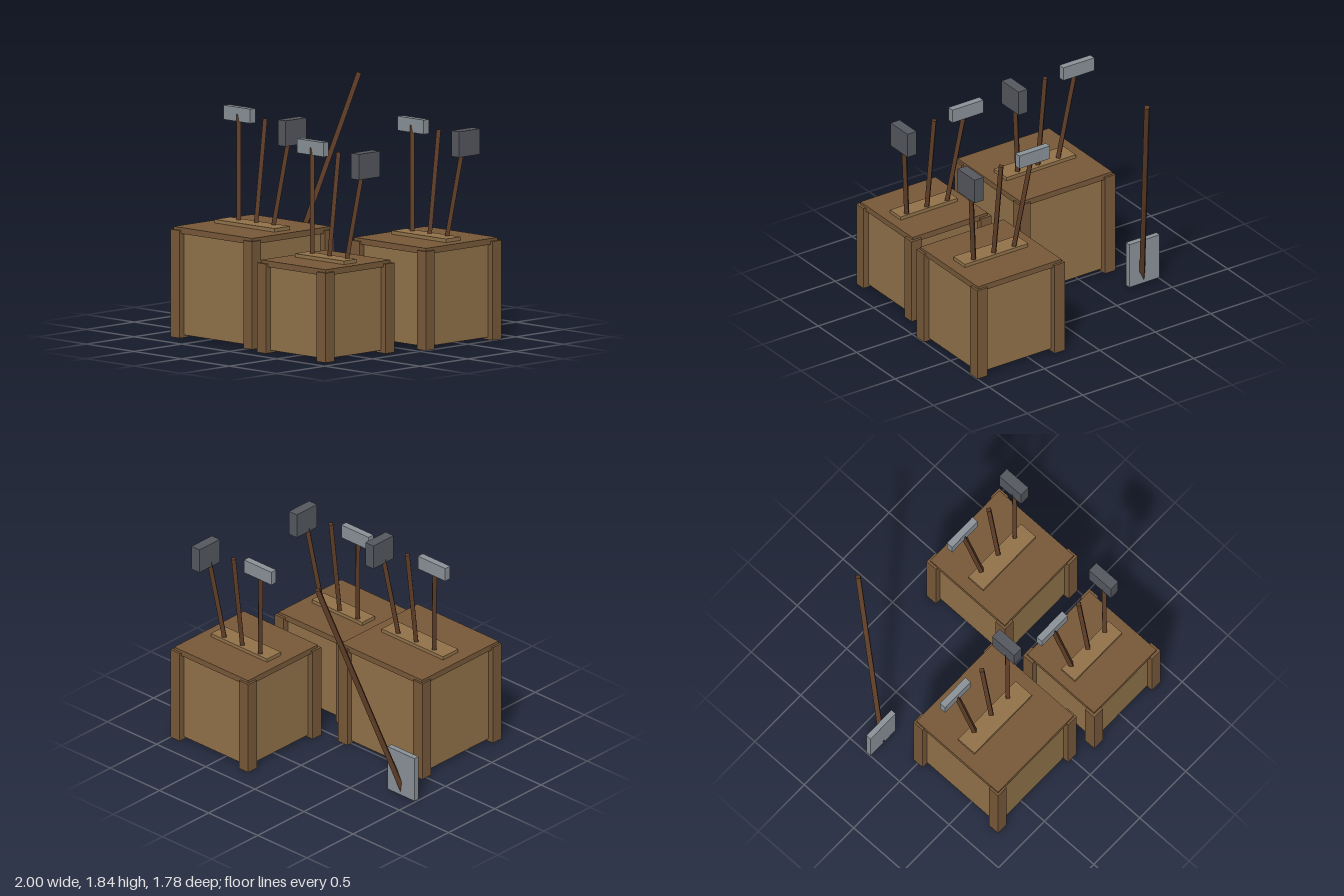
import * as THREE from 'three';

const paint = (color) => new THREE.MeshStandardMaterial({ color, flatShading: true });
const plank = paint(0x91724a);
const frame = paint(0x785939);
const shaft = paint(0x5e3d27);
const steel = paint(0x8a9298);
const iron = paint(0x55585f);

function box(parent, name, material, [w, h, d], [x, y, z]) {
  const mesh = new THREE.Mesh(new THREE.BoxGeometry(w, h, d), material);
  mesh.name = name;
  mesh.position.set(x, y, z);
  parent.add(mesh);
}

// Four-sided shaft running from one point to another
function handle(parent, name, from, to, radius = 0.023) {
  const a = new THREE.Vector3(...from);
  const b = new THREE.Vector3(...to);
  const dir = b.clone().sub(a);
  const mesh = new THREE.Mesh(new THREE.CylinderGeometry(radius, radius, dir.length(), 4), shaft);
  mesh.name = name;
  mesh.position.copy(a).add(b).multiplyScalar(0.5);
  mesh.quaternion.setFromUnitVectors(new THREE.Vector3(0, 1, 0), dir.normalize());
  parent.add(mesh);
}

// Crate of edge length s, with three tools standing in its lid
function crate(name, s, x, z) {
  const g = new THREE.Group();
  g.name = name;
  g.position.set(x, 0, z);

  box(g, 'crateBody', plank, [s, s, s], [0, 0.02 + s / 2, 0]);
  box(g, 'crateLid', frame, [s * 1.08, 0.046, s * 1.08], [0, s + 0.043, 0]);
  const postHeight = s + 0.045;
  for (const sx of [-1, 1]) {
    for (const sz of [-1, 1]) {
      box(g, 'cornerPost', frame, [0.093, postHeight, 0.093], [sx * s / 2, postHeight / 2, sz * s / 2]);
    }
  }
  const top = s + 0.093;
  box(g, 'toolRack', plank, [s * 0.82, 0.027, s * 0.215], [0, top - 0.0135, 0]);

  // Handles lean back, and the outer two also fan outwards
  const lean = 0.122;
  const tool = (part, side, length) => {
    const at = (h) => [side * (0.183 + lean * h), top + h, -0.04 - lean * h];
    handle(g, part, at(-0.05), at(length));
  };
  tool('hammerHandle', -1, 0.77);
  tool('poleHandle', 0, 0.767);
  tool('malletHandle', 1, 0.70);
  box(g, 'hammerHead', steel, [0.278, 0.107, 0.053], [-0.279, top + 0.77, -0.143]);
  box(g, 'malletHead', iron, [0.081, 0.193, 0.22], [0.279, top + 0.70, -0.139]);
  return g;
}

export function createModel() {
  const model = new THREE.Group();
  model.name = 'toolCrates';
  model.add(
    crate('largeCrate', 0.763, -0.375, 0.385),
    crate('smallCrate', 0.627, 0.532, 0.521),
    crate('mediumCrate', 0.697, 0.605, -0.454),
  );

  // Shovel leaning behind the large crate
  const shovel = new THREE.Group();
  shovel.name = 'shovel';
  box(shovel, 'shovelBlade', steel, [0.274, 0.36, 0.043], [-0.863, 0.19, -0.315]);
  handle(shovel, 'shovelHandle', [-0.859, 0.035, -0.31], [-0.515, 1.832, -0.87], 0.026);
  model.add(shovel);
  return model;
}
